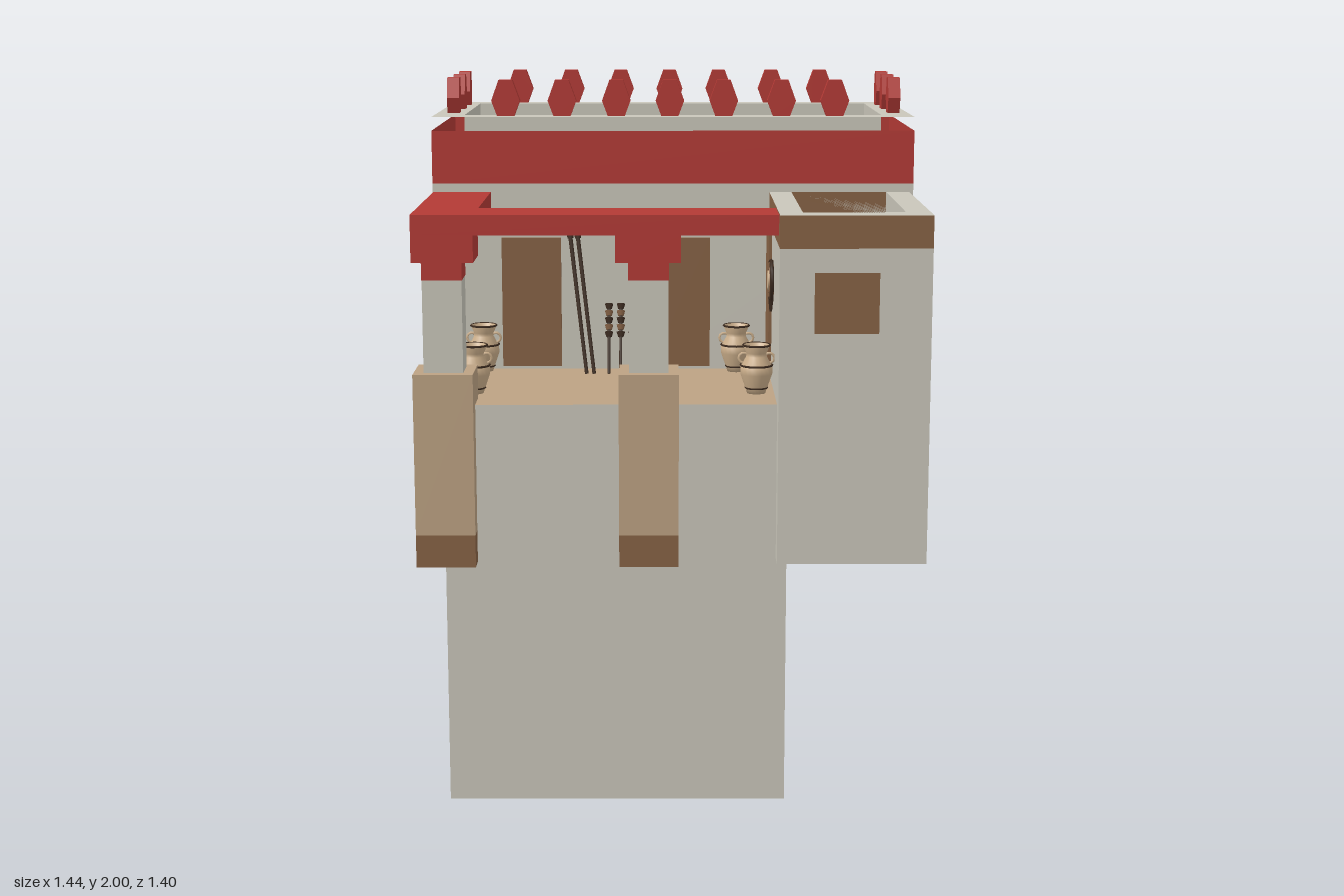
import * as THREE from 'three';

const mat = (name, color) => {
  const m = new THREE.MeshStandardMaterial({ color, side: THREE.DoubleSide });
  m.name = name;
  return m;
};

export function createModel() {
  const root = new THREE.Group();
  root.name = 'adobeHouse';
  const plaster = mat('plaster', 0xc9c6ba);
  const red = mat('redPaint', 0xb33a35);
  const brown = mat('brownWood', 0x866245);
  const tan = mat('tanClay', 0xbca283);
  const dark = mat('darkWood', 0x3d2c20);
  const clay = mat('paleClay', 0xcdb08c);

  const add = (name, geo, material, parent = root) => {
    const m = new THREE.Mesh(geo, material);
    m.name = name;
    parent.add(m);
    return m;
  };
  // Box given by its extents
  const box = (name, material, x0, x1, y0, y1, z0, z1, parent) => {
    const g = new THREE.BoxGeometry(x1 - x0, y1 - y0, z1 - z0);
    g.translate((x0 + x1) / 2, (y0 + y1) / 2, (z0 + z1) / 2);
    return add(name, g, material, parent);
  };
  // Four walls without top or bottom
  const walls = (name, material, ...extents) => {
    const m = box(name, material, ...extents);
    const idx = Array.from(m.geometry.index.array);
    m.geometry.clearGroups();
    m.geometry.setIndex([...idx.slice(0, 12), ...idx.slice(24)]);
    return m;
  };
  // Horizontal sheet, optionally with a rectangular hole
  const sheet = (name, material, y, [x0, x1, z0, z1], hole) => {
    const rect = (T, a, b, c, d) => {
      const p = new T();
      p.moveTo(a, -c); p.lineTo(a, -d); p.lineTo(b, -d); p.lineTo(b, -c); p.closePath();
      return p;
    };
    const s = rect(THREE.Shape, x0, x1, z0, z1);
    if (hole) s.holes.push(rect(THREE.Path, ...hole));
    const g = new THREE.ShapeGeometry(s);
    g.rotateX(-Math.PI / 2).translate(0, y, 0);
    return add(name, g, material);
  };
  // Upright sheet along x (front) or z (side)
  const rod = (name, material, a, b, r0, r1, sides, parent) => {
    const d = new THREE.Vector3().subVectors(b, a);
    const m = add(name, new THREE.CylinderGeometry(r1, r0, d.length(), sides), material, parent);
    m.position.copy(a).addScaledVector(d, 0.5);
    m.quaternion.setFromUnitVectors(new THREE.Vector3(0, 1, 0), d.normalize());
    return m;
  };

  // Lower tower: front and left walls only, under a clay terrace
  const front = new THREE.PlaneGeometry(0.95, 1.145).translate(-0.155, 0.5725, 0.625);
  add('towerFrontWall', front, plaster);
  const side = new THREE.PlaneGeometry(0.85, 1.145).rotateY(-Math.PI / 2).translate(-0.63, 0.5725, 0.2);
  add('towerSideWall', side, plaster);
  sheet('terraceFloor', tan, 1.145, [-0.63, 0.32, -0.225, 0.625]);

  // Main house with red band and a sunken roof
  walls('mainWalls', plaster, -0.705, 0.715, 0.665, 1.7, -0.69, 0.063);
  walls('mainRedBand', red, -0.705, 0.715, 1.7, 1.855, -0.69, 0.063);
  sheet('mainRoofRim', plaster, 1.895, [-0.705, 0.715, -0.69, 0.063], [-0.615, 0.625, -0.605, -0.028]);
  walls('mainRoofRecess', plaster, -0.615, 0.625, 1.78, 1.895, -0.605, -0.028);
  sheet('mainRoofFloor', plaster, 1.78, [-0.615, 0.625, -0.605, -0.028]);

  // Side house with brown band and a sunken roof
  walls('sideHouseWalls', plaster, 0.29, 0.703, 0.71, 1.585, 0.064, 0.695);
  walls('sideHouseBand', brown, 0.29, 0.703, 1.585, 1.675, 0.064, 0.695);
  sheet('sideRoofRim', plaster, 1.675, [0.29, 0.703, 0.06, 0.695], [0.355, 0.635, 0.064, 0.62]);
  walls('sideRoofRecess', plaster, 0.355, 0.635, 1.61, 1.675, 0.064, 0.62);
  sheet('sideRoofFloor', plaster, 1.61, [0.355, 0.635, 0.064, 0.62]);

  // Roof merlons
  const tooth = new THREE.Shape([[-0.025, 0], [0.025, 0], [0.042, 0.045], [0.02, 0.105], [-0.02, 0.105], [-0.042, 0.045]]
    .map(([x, y]) => new THREE.Vector2(x, y)));
  const toothGeo = new THREE.ExtrudeGeometry(tooth, { depth: 0.036, bevelEnabled: false }).translate(0, 0, -0.018);
  const merlon = (x, z, turn) => {
    const m = add('merlon', toothGeo, red);
    m.position.set(x, 1.896, z);
    m.rotation.y = turn;
  };
  for (const x of [-0.488, -0.322, -0.162, -0.004, 0.155, 0.325, 0.482])
    for (const z of [0.02, -0.653]) merlon(x, z, 0);
  for (const z of [-0.523, -0.335, -0.135])
    for (const x of [-0.655, 0.67]) merlon(x, z, Math.PI / 2);

  // Windows and doors
  for (const x of [-0.39, 0.02, 0.472]) box('backWindow', brown, x - 0.088, x + 0.088, 1.355, 1.52, -0.699, -0.69);
  box('sideHouseWindow', brown, 0.385, 0.56, 1.355, 1.52, 0.695, 0.702);
  for (const x of [-0.415, 0.027]) box('doorway', brown, x - 0.088, x + 0.088, 1.155, 1.54, 0.063, 0.072);
  box('sideDoor', brown, 0.281, 0.29, 1.155, 1.6, 0.09, 0.26);

  // Red pergola beams
  box('frontBeam', red, -0.703, 0.288, 1.62, 1.675, 0.515, 0.685);
  box('sideBeam', red, -0.703, -0.533, 1.62, 1.675, 0.064, 0.515);

  // Posts
  for (const x of [-0.623, -0.063]) {
    const post = new THREE.Group();
    post.name = 'post';
    root.add(post);
    const z = 0.607;
    const block = (name, m, w, y0, y1) => box(name, m, x - w, x + w, y0, y1, z - w, z + w, post);
    block('postFoot', brown, 0.082, 0.7, 0.79);
    block('postBase', tan, 0.082, 0.79, 1.24);
    block('postShaft', plaster, 0.054, 1.24, 1.495);
    block('postCapital', red, 0.055, 1.495, 1.545);
    box('postBracket', red, x - (x < -0.5 ? 0.08 : 0.09), x + 0.088, 1.545, 1.62, z - 0.088, z + 0.078, post);
  }

  // Clay pots with bands, dark mouth and handles
  const profile = [[0, 0], [0.026, 0], [0.031, 0.015], [0.045, 0.055], [0.045, 0.075], [0.029, 0.105], [0.029, 0.115], [0.039, 0.138], [0.032, 0.138], [0.024, 0.112]]
    .map(([x, y]) => new THREE.Vector2(x, y));
  for (const [x, z] of [[0.193, 0.11], [0.239, 0.46], [-0.557, 0.105], [-0.557, 0.46]]) {
    const pot = new THREE.Group();
    pot.name = 'pot';
    pot.position.set(x, 1.147, z);
    root.add(pot);
    add('potBody', new THREE.LatheGeometry(profile, 20), clay, pot);
    for (const [r, y] of [[0.045, 0.08], [0.038, 0.137], [0.031, 0.016]])
      add('potBand', new THREE.TorusGeometry(r, 0.003, 4, 20).rotateX(Math.PI / 2).translate(0, y, 0), dark, pot);
    add('potMouth', new THREE.CircleGeometry(0.026, 20).rotateX(-Math.PI / 2).translate(0, 0.118, 0), dark, pot);
    for (const s of [-1, 1])
      add('potHandle', new THREE.TorusGeometry(0.014, 0.004, 5, 10).translate(s * 0.036, 0.1, 0), clay, pot);
  }

  // Two long clubs leaning on the wall
  const V = (x, y, z) => new THREE.Vector3(x, y, z);
  for (const dx of [0, 0.022]) {
    const a = V(-0.25 + dx, 1.147, 0.16), b = V(-0.305 + dx, 1.6, 0.075);
    rod('longShaft', dark, a, b, 0.006, 0.007, 6);
    rod('longHead', dark, a.clone().lerp(b, 0.87), b, 0.01, 0.013, 6);
  }
  // Four short clubs with ribbed heads
  for (const x of [-0.185, -0.15, -0.115, -0.08 - 0.003]) {
    const a = V(x, 1.147, 0.155), b = V(x, 1.345, 0.075);
    rod('shortShaft', dark, a, b, 0.005, 0.005, 6);
    for (let i = 0; i < 5; i++) {
      const t = 0.52 + i * 0.1;
      rod('shortRib', i % 2 ? brown : dark, a.clone().lerp(b, t), a.clone().lerp(b, t + 0.07), 0.009, 0.014, 6);
    }
  }

  // Round hanging shields with a pendant
  const shield = (x, y, z) => {
    const g = new THREE.Group();
    g.name = 'shield';
    g.position.set(x, y, z);
    root.add(g);
    add('shieldDisc', new THREE.CylinderGeometry(0.052, 0.058, 0.012, 20).rotateZ(Math.PI / 2), brown, g);
    add('shieldRim', new THREE.TorusGeometry(0.056, 0.006, 5, 20).rotateY(Math.PI / 2), dark, g);
    add('shieldBoss', new THREE.CylinderGeometry(0.028, 0.028, 0.02, 14).rotateZ(Math.PI / 2), clay, g);
    for (const dz of [-0.02, 0, 0.02])
      rod('shieldPendant', dark, V(0, -0.09 + Math.abs(dz), dz), V(0, -0.05, dz), 0.004, 0.008, 5, g);
  };
  shield(-0.711, 1.545, -0.115);
  shield(0.284, 1.45, 0.335);

  return root;
}
